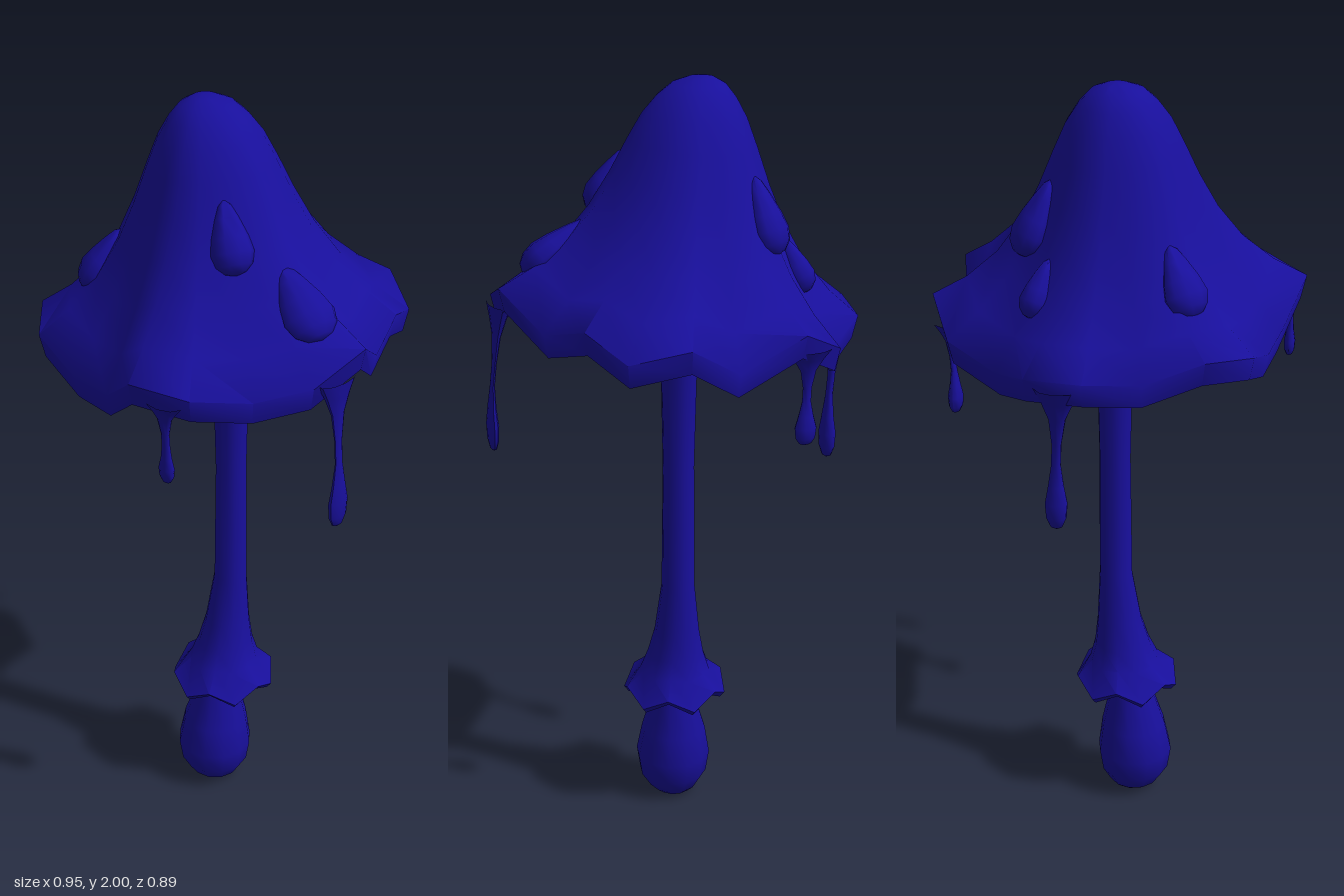
import * as THREE from 'three';
import { toCreasedNormals } from 'three/addons/utils/BufferGeometryUtils.js';

const material = new THREE.MeshStandardMaterial({ color: 0x180f9c });
const V = (x, y, z) => new THREE.Vector3(x, y, z);
const mix = THREE.MathUtils.lerp;

// Skin a stack of closed rings, listed from top to bottom
function loft(rings, crease = 0.95) {
  const n = rings[0].length;
  const index = [];
  for (let j = 0; j < rings.length - 1; j++) {
    for (let i = 0; i < n; i++) {
      const a = j * n + i, d = j * n + (i + 1) % n;
      index.push(a, d, a + n, d, d + n, a + n);
    }
  }
  const geo = new THREE.BufferGeometry().setFromPoints(rings.flat());
  geo.setIndex(index);
  return toCreasedNormals(geo, crease);
}

function part(name, geometry) {
  const mesh = new THREE.Mesh(geometry, material);
  mesh.name = name;
  return mesh;
}

// Horizontal ring; lift(i) makes its edge jagged
function ring(n, x, y, z, rx, rz = rx, lift = () => 0) {
  return Array.from({ length: n }, (_, i) => {
    const a = (i / n) * Math.PI * 2;
    return V(x + rx * Math.cos(a), y + lift(i), z + rz * Math.sin(a));
  });
}

// Ragged cap edge: x, height, z
const rim = [
  [0.455, 1.53, 0], [0.43, 1.47, 0.145], [0.33, 1.43, 0.24], [0.26, 1.46, 0.375],
  [0.13, 1.48, 0.443], [0, 1.38, 0.40], [-0.14, 1.37, 0.383], [-0.285, 1.42, 0.367],
  [-0.39, 1.44, 0.267], [-0.385, 1.37, 0.12], [-0.475, 1.40, -0.005], [-0.445, 1.39, -0.15],
  [-0.33, 1.35, -0.245], [-0.275, 1.40, -0.378], [-0.15, 1.47, -0.447], [0, 1.38, -0.405],
  [0.14, 1.47, -0.443], [0.27, 1.43, -0.37], [0.33, 1.48, -0.25], [0.385, 1.44, -0.12],
];
const apex = V(-0.08, 2, 0);

function makeCap() {
  // Bell profile: share of the reach, share of the drop
  const profile = [[0, 0], [0.07, 0.008], [0.15, 0.035], [0.22, 0.09], [0.29, 0.17], [0.36, 0.29],
    [0.44, 0.44], [0.54, 0.6], [0.67, 0.755], [0.83, 0.89], [1, 1]];
  const rings = profile.map(([f, g]) => rim.map(([x, y, z]) => {
    // Folds fade out towards the top
    const a = Math.atan2(z, x), s = f * f * 0.6 + f * 0.4;
    const px = mix(0.44 * Math.cos(a), x, s), pz = mix(0.43 * Math.sin(a), z, s);
    const py = mix(1.44 + 0.13 * px, y, s);
    return V(mix(apex.x, px, f), mix(apex.y, py, g), mix(0, pz, f));
  }));
  // Hanging lip
  for (const [s, h] of [[0.97, -0.06], [0.9, -0.02]]) {
    rings.push(rim.map(([x, y, z]) => V(x * s, y + h, z * s)));
  }
  // Hollow underside: reach, height, share of the edge height
  for (const [s, h, k] of [[0.75, 1.49, 0.4], [0.55, 1.55, 0.15], [0.25, 1.58, 0]]) {
    rings.push(rim.map(([x, y, z]) => V(x * s, mix(h, y, k), z * s)));
  }
  return part('cap', loft(rings, 1.15));
}

function makeStem() {
  const jag = (i) => (i % 2 ? -0.02 : 0.018);
  // height, radius, x, z, jaggedness
  const rows = [
    [1.56, 0.25, -0.01, -0.01], [1.5, 0.15, -0.005, -0.015], [1.43, 0.09, -0.005, -0.02],
    [1.36, 0.06, -0.005, -0.02], [1.26, 0.046, -0.008, -0.02], [1.0, 0.041, -0.007, -0.02],
    [0.66, 0.044, -0.007, -0.018], [0.52, 0.06, -0.008, -0.008], [0.45, 0.075, -0.008, 0],
    [0.4, 0.093, -0.008, 0.005, 0.2], [0.345, 0.138, -0.008, 0.01, 1], [0.33, 0.125, -0.008, 0.01, 1],
    [0.38, 0.06, -0.008, 0.015, 0.2], [0.36, 0.047, -0.01, 0.02], [0.3, 0.058, -0.012, 0.025],
    [0.2, 0.087, -0.015, 0.032], [0.12, 0.101, -0.015, 0.036], [0.06, 0.092, -0.015, 0.036],
    [0.02, 0.067, -0.015, 0.034], [0.004, 0.046, -0.015, 0.03], [0, 0, -0.015, 0.03],
  ];
  return part('stem', loft(rows.map(([y, r, x, z, w = 0]) => ring(12, x, y, z, r, r, (i) => w * jag(i)))));
}

// Drip hanging from one point to another; sx and sz stretch its section
function makeDrip([x0, y0, z0], [x1, y1, z1], r, sx, sz) {
  const rows = [[0, 0.06], [0.1, 0.04], [0.22, 0.021], [0.4, 0.012], [0.55, 0.012],
    [0.7, r * 0.7], [0.82, r], [0.92, r * 0.9], [0.98, r * 0.55], [1, 0]];
  return part('drip', loft(rows.map(([t, w]) => {
    const bend = Math.min(1, t * 1.6);
    return ring(10, mix(x0, x1, bend), mix(y0, y1, t), mix(z0, z1, bend), w * sx, w * sz);
  })));
}

// Teardrop blob lying on the cap, thin end towards the apex
function makeBlob(cap, x, z, width, length) {
  const hit = new THREE.Raycaster(V(x, 3, z), V(0, -1, 0)).intersectObject(cap)[0];
  const normal = hit.face.normal.clone();
  const up = apex.clone().sub(hit.point).projectOnPlane(normal).normalize();
  const outline = [[0, 0.5], [0.3, 0.42], [0.55, 0.25], [0.85, 0], [1, -0.2], [0.85, -0.36], [0.5, -0.46], [0, -0.5]];
  const blob = part('blob', loft(outline.map(([r, y]) => ring(10, 0, y * length, 0, r * width, r * 0.042)), 1.2));
  blob.quaternion.setFromRotationMatrix(
    new THREE.Matrix4().makeBasis(new THREE.Vector3().crossVectors(up, normal), up, normal));
  blob.position.copy(hit.point);
  return blob;
}

export function createModel() {
  const model = new THREE.Group();
  model.name = 'mushroom';
  const cap = makeCap();
  cap.updateMatrixWorld();
  model.add(cap, makeStem());

  const drips = [
    [[-0.43, 1.37, -0.07], [-0.402, 0.985, -0.085], 0.028, 0.75, 1],
    [[0.432, 1.47, 0.07], [0.457, 1.08, 0.08], 0.031, 0.45, 1],
    [[-0.18, 1.42, -0.4], [-0.18, 1.17, -0.39], 0.029, 1, 0.65],
    [[0.2, 1.45, 0.4], [0.205, 1.23, 0.398], 0.023, 1, 0.65],
  ];
  drips.forEach((d) => model.add(makeDrip(...d)));

  const blobs = [
    [0.29, 0.045, 0.066, 0.21], [0.125, 0.115, 0.052, 0.18], [-0.245, 0.185, 0.058, 0.18],
    [-0.26, -0.15, 0.04, 0.15], [-0.165, -0.18, 0.058, 0.2],
  ];
  blobs.forEach((b) => model.add(makeBlob(cap, ...b)));
  return model;
}
